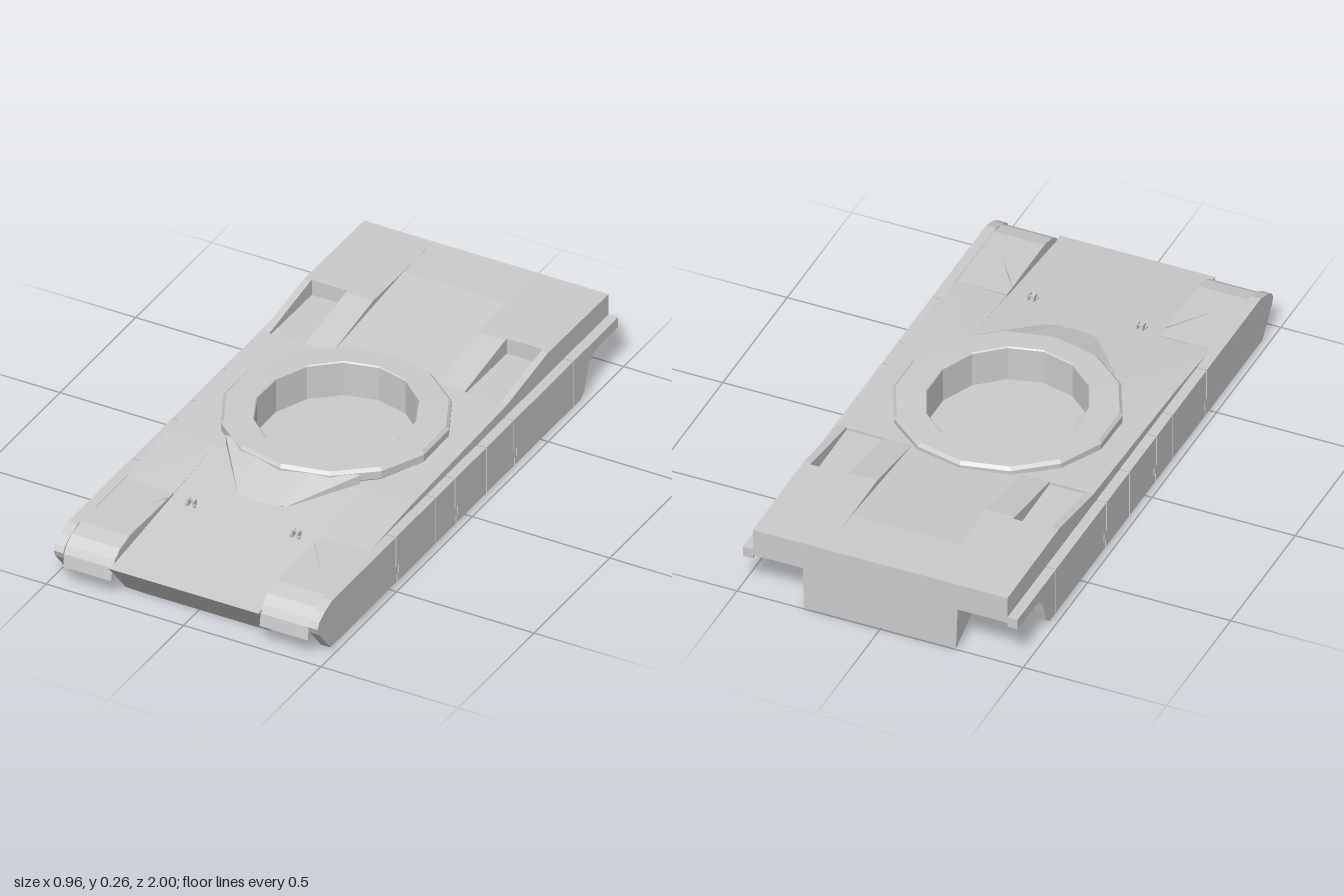
import * as THREE from 'three';
import { ConvexGeometry } from 'three/addons/geometries/ConvexGeometry.js';

const material = new THREE.MeshStandardMaterial({
  color: 0xcccccc, flatShading: true, side: THREE.DoubleSide,
});
const V = (x, y, z) => new THREE.Vector3(x, y, z);
const toShape = (pts) => new THREE.Shape(pts.map(([a, b]) => new THREE.Vector2(a, b)));

// Side profile of [z, y] points, extruded across from x0 to x1
function prism(pts, x0, x1) {
  const g = new THREE.ExtrudeGeometry(toShape(pts), { depth: x1 - x0, bevelEnabled: false });
  return g.rotateY(-Math.PI / 2).translate(x1, 0, 0);
}

// Moves every vertex of a geometry by a rule
function warp(g, rule) {
  const p = g.attributes.position;
  const v = new THREE.Vector3();
  for (let i = 0; i < p.count; i++) {
    rule(v.fromBufferAttribute(p, i));
    p.setXYZ(i, v.x, v.y, v.z);
  }
  return g;
}

const RING_SIDES = 14, RING_Z = -0.01;
const deckY = (z) => 0.2095 - 0.0317 * z;

// Sloping deck slab with the turret opening cut through it
function deckSlab(halfWidth, drop, depth) {
  const s = toShape([[-halfWidth, -0.33], [halfWidth, -0.33], [halfWidth, 0.3], [-halfWidth, 0.3]]);
  const hole = [];
  for (let i = 0; i < RING_SIDES; i++) {
    const a = (i / RING_SIDES) * Math.PI * 2;
    hole.push(new THREE.Vector2(0.264 * Math.sin(a), RING_Z + 0.284 * Math.cos(a)));
  }
  s.holes.push(new THREE.Path(hole));
  const g = new THREE.ExtrudeGeometry(s, { depth, bevelEnabled: false }).rotateX(Math.PI / 2);
  return warp(g, (v) => { v.y += deckY(v.z) - drop; });
}

// Flat belly with chamfers that climb the hull side to one high point near the rear
function bellyGeometry() {
  const pts = [];
  for (const s of [1, -1]) {
    const front = V(s * 0.265, 0.006, 0.9), rear = V(s * 0.265, 0.006, -1);
    const high = V(s * 0.272, 0.15, -0.72);
    const k1 = V(s * 0.19, 0, 0.895), k2 = V(s * 0.19, 0, -0.93);
    const mid1 = V(0, 0, 0.895), mid2 = V(0, 0, -0.93);
    const edge1 = V(0, 0.006, 0.9), edge2 = V(0, 0.006, -1);
    const tris = [
      [front, high, k1], [k1, high, k2], [k2, high, rear], [k1, k2, mid2], [k1, mid2, mid1],
      [front, k1, mid1], [front, mid1, edge1], [rear, edge2, mid2], [rear, mid2, k2],
    ];
    for (const [a, b, c] of tris) pts.push(...(s > 0 ? [a, b, c] : [a, c, b]));
  }
  const g = new THREE.BufferGeometry().setFromPoints(pts);
  g.computeVertexNormals();
  return g;
}

// Skirt seam from top to bottom, some with a small hooked step
const seamLine = ({ z, hook }, shift) => (hook
  ? [[z, 0.182], [z, 0.07], [z - 0.018, 0.07], [z - 0.018, 0.04], [z - 0.006, 0.04], [z - 0.006, 0.01]]
  : [[z, 0.182], [z, 0.01]]).map(([a, y]) => [a + shift, y]);

export function createModel() {
  const model = new THREE.Group();
  const add = (name, geometry, parent = model) => {
    const mesh = new THREE.Mesh(geometry, material);
    mesh.name = name;
    parent.add(mesh);
    return mesh;
  };
  const box = (name, w, h, d, x, y, z, parent) =>
    add(name, new THREE.BoxGeometry(w, h, d), parent).position.set(x, y, z);

  // Lower hull with nose and glacis, lowered under the turret opening
  const tub = prism([
    [1, 0.13], [0.3, 0.2], [0.3, 0.12], [-0.33, 0.12], [-0.33, 0.2], [-1, 0.2],
    [-1, 0.006], [-0.72, 0.15], [0.9, 0.006],
  ].map(([z, y]) => [z, y]), -0.272, 0.272);
  add('lowerHull', warp(tub, (v) => { if (v.y < 0.02) v.x *= 0.975; }));
  add('belly', bellyGeometry());

  // Middle deck and the walls of the turret well
  add('middleDeck', deckSlab(0.445, 0, 0.05));
  add('turretWell', deckSlab(0.272, 0.004, 0.09));

  // Turret ring: chamfered collar with a slightly oval opening
  const ringProfile = [
    [0.357, 0.19], [0.373, 0.207], [0.374, 0.235], [0.364, 0.246],
    [0.284, 0.247], [0.28, 0.243], [0.28, 0.118],
  ].map(([r, y]) => new THREE.Vector2(r, y));
  const ring = warp(new THREE.LatheGeometry(ringProfile, RING_SIDES), (v) => {
    if (Math.hypot(v.x, v.z) < 0.3) v.x *= 0.93;
  });
  add('turretRing', ring).position.z = RING_Z;

  // Wedge rising from the glacis to the ring
  const wedge = [];
  for (const s of [-1, 1]) {
    wedge.push(V(s * 0.05, 0.182, 0.495), V(s * 0.09, 0.184, 0.48), V(s * 0.245, 0.234, 0.275),
      V(s * 0.1, 0.234, 0.34), V(s * 0.245, 0.17, 0.275), V(s * 0.07, 0.17, 0.47));
  }
  add('driverWedge', new ConvexGeometry(wedge));

  // Engine deck: shallow centre panel between raised ramps
  add('enginePanel', prism(
    [[-0.33, 0.16], [-0.33, 0.22], [-0.8, 0.259], [-1, 0.258], [-1, 0.16]], -0.19, 0.19));
  const ramp = [[-0.33, 0.16], [-0.33, 0.22], [-0.6, 0.263], [-1, 0.258], [-1, 0.16]];
  const pocket = [[-0.33, 0.16], [-0.33, 0.21], [-0.61, 0.206], [-0.61, 0.263], [-1, 0.258], [-1, 0.16]];

  // Skirt panels between the seams, with shaped first and last panels
  const gap = 0.003;
  const seams = [
    { z: 0.468, hook: true }, { z: 0.205 }, { z: 0.078, hook: true },
    { z: -0.13 }, { z: -0.31, hook: true }, { z: -0.703 },
  ];
  const skirtFront = [
    ...seamLine(seams[0], gap),
    [0.9, 0.01], [0.975, 0.1], [0.985, 0.125], [0.975, 0.145], [0.94, 0.165], [0.89, 0.182],
  ];
  const skirtRear = [
    ...seamLine(seams[5], -gap).reverse(),
    [-1, 0.182], [-1, 0.145], [-0.87, 0.145], [-0.83, 0.136],
    [-0.805, 0.115], [-0.79, 0.07], [-0.775, 0.03], [-0.75, 0.01],
  ];
  const fender = [
    [0.58, 0.18], [0.87, 0.181], [0.93, 0.168], [0.965, 0.145], [0.98, 0.12], [0.987, 0.075],
    [0.975, 0.075], [0.967, 0.115], [0.95, 0.137], [0.92, 0.155], [0.87, 0.167], [0.58, 0.165],
  ];
  const fenderWall = [
    [0.58, 0.18], [0.87, 0.18], [0.93, 0.167], [0.965, 0.144], [0.98, 0.12], [0.97, 0.1], [0.58, 0.12],
  ];

  for (const s of [1, -1]) {
    const side = new THREE.Group();
    side.name = s > 0 ? 'leftSide' : 'rightSide';
    model.add(side);
    const across = (name, pts, a, b) =>
      add(name, prism(pts, Math.min(s * a, s * b), Math.max(s * a, s * b)), side);

    across('innerRamp', ramp, 0.19, 0.29);
    across('pocketFloor', pocket, 0.29, 0.42);
    across('outerRamp', ramp, 0.42, 0.445);
    across('fender', fender, 0.27, 0.445);
    across('fenderWall', fenderWall, 0.268, 0.276);

    // Folded shoulder between the deck and the fender
    const shoulder = [
      [0.27, 0.2, 0.3], [0.27, 0.174, 0.58], [0.445, 0.18, 0.58], [0.445, 0.2, 0.3],
      [0.27, 0.15, 0.3], [0.27, 0.15, 0.58], [0.445, 0.15, 0.58], [0.445, 0.15, 0.3],
    ];
    add('shoulder', new ConvexGeometry(shoulder.map(([x, y, z]) => V(s * x, y, z))), side);

    // Gusset bracing the fender against the hull
    add('fenderGusset', new ConvexGeometry([
      V(s * 0.268, 0.165, 0.62), V(s * 0.268, 0.186, 0.62), V(s * 0.272, 0.165, 0.63),
      V(s * 0.36, 0.165, 0.75), V(s * 0.36, 0.182, 0.75), V(s * 0.355, 0.165, 0.755),
    ]), side);

    across('skirtFront', skirtFront, 0.445, 0.48);
    for (let i = 0; i < seams.length - 1; i++) {
      const outline = [...seamLine(seams[i], -gap), ...seamLine(seams[i + 1], gap).reverse()];
      across('skirtPanel', outline, 0.445, 0.48);
    }
    across('skirtRear', skirtRear, 0.445, 0.48);

    // Towing bracket on the glacis
    const bracket = new THREE.Group();
    bracket.name = 'towBracket';
    bracket.position.set(s * 0.19, 0.179, 0.6);
    side.add(bracket);
    for (const e of [-1, 1]) {
      box('bracketLug', 0.006, 0.022, 0.024, e * 0.01, 0.002, 0, bracket);
      box('bracketFoot', 0.009, 0.008, 0.01, e * 0.014, -0.004, 0.01, bracket);
    }
    box('bracketBar', 0.02, 0.006, 0.006, 0, 0.008, -0.004, bracket);
  }
  return model;
}
